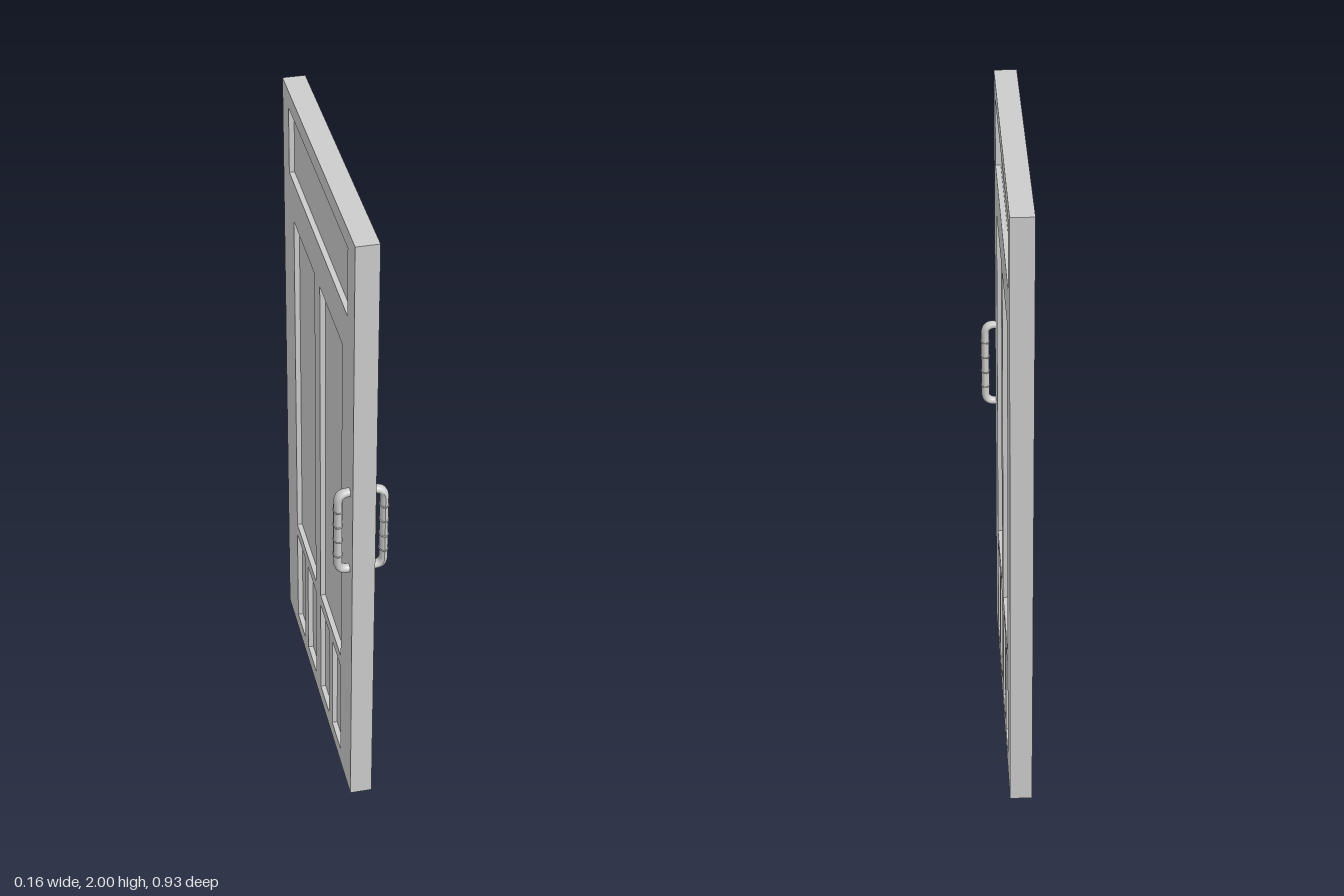
import * as THREE from 'three';

const WIDTH = 0.926, HEIGHT = 2, THICK = 0.067, RECESS = 0.016;
const material = new THREE.MeshStandardMaterial({ color: 0xcccccc });

// Panel openings on one half or centred: [z0, z1, y0, y1]
const half = [
  [0.035, 0.32, 0.448, 1.602],
  [0.035, 0.156, 0.055, 0.405],
  [0.204, 0.32, 0.055, 0.405],
];
const panels = [
  [-0.38, 0.38, 1.734, 1.946],
  ...half,
  ...half.map(([a, b, c, d]) => [-b, -a, c, d]),
];

function trace(path, x0, x1, y0, y1) {
  path.moveTo(x0, y0);
  path.lineTo(x1, y0);
  path.lineTo(x1, y1);
  path.lineTo(x0, y1);
  path.closePath();
  return path;
}

function add(parent, name, geometry) {
  const mesh = new THREE.Mesh(geometry, material);
  mesh.name = name;
  parent.add(mesh);
  return mesh;
}

// Bow handle standing off the +x face
function makeHandle(name) {
  const handle = new THREE.Group();
  handle.name = name;
  const X = 0.067, TOP = 0.139, BEND = 0.03, R = 0.0125;
  const v = (x, y) => new THREE.Vector3(x, y, 0);
  const path = new THREE.CurvePath();
  path.add(new THREE.LineCurve3(v(0.028, TOP), v(X - BEND, TOP)));
  path.add(new THREE.QuadraticBezierCurve3(v(X - BEND, TOP), v(X, TOP), v(X, TOP - BEND)));
  path.add(new THREE.LineCurve3(v(X, TOP - BEND), v(X, BEND - TOP)));
  path.add(new THREE.QuadraticBezierCurve3(v(X, BEND - TOP), v(X, -TOP), v(X - BEND, -TOP)));
  path.add(new THREE.LineCurve3(v(X - BEND, -TOP), v(0.028, -TOP)));

  // The grip is wider across the door than the legs
  const grip = new THREE.TubeGeometry(path, 64, R, 16);
  const pos = grip.attributes.position;
  for (let i = 0; i < pos.count; i++) {
    const widen = 1.15 + 0.3 * THREE.MathUtils.smoothstep(pos.getX(i), 0.042, 0.068);
    pos.setZ(i, pos.getZ(i) * widen);
  }
  grip.computeVertexNormals();
  add(handle, 'grip', grip);

  // Raised bands around the grip
  for (const y of [-0.08, -0.027, 0.027, 0.08]) {
    const band = new THREE.TorusGeometry(R, 0.0022, 6, 24);
    band.rotateX(Math.PI / 2).scale(1, 1, 1.45);
    add(handle, 'gripBand', band).position.set(X, y, 0);
  }
  handle.position.set(0, 1.027, 0.421);
  return handle;
}

export function createModel() {
  const door = new THREE.Group();
  door.name = 'door';

  // Frame with openings, extruded through the thickness
  const shape = trace(new THREE.Shape(), -WIDTH / 2, WIDTH / 2, 0, HEIGHT);
  shape.holes = panels.map((p) => trace(new THREE.Path(), ...p));
  const frame = new THREE.ExtrudeGeometry(shape, { depth: THICK, bevelEnabled: false });
  frame.translate(0, 0, -THICK / 2).rotateY(-Math.PI / 2);
  add(door, 'frame', frame);

  // Recessed panels, visible from both faces
  for (const [z0, z1, y0, y1] of panels) {
    const panel = new THREE.BoxGeometry(THICK - 2 * RECESS, y1 - y0, z1 - z0);
    add(door, 'recessedPanel', panel).position.set(0, (y0 + y1) / 2, (z0 + z1) / 2);
  }

  // One handle on each face
  const left = makeHandle('leftHandle');
  const right = makeHandle('rightHandle');
  right.rotation.y = Math.PI;
  door.add(left, right);
  return door;
}
